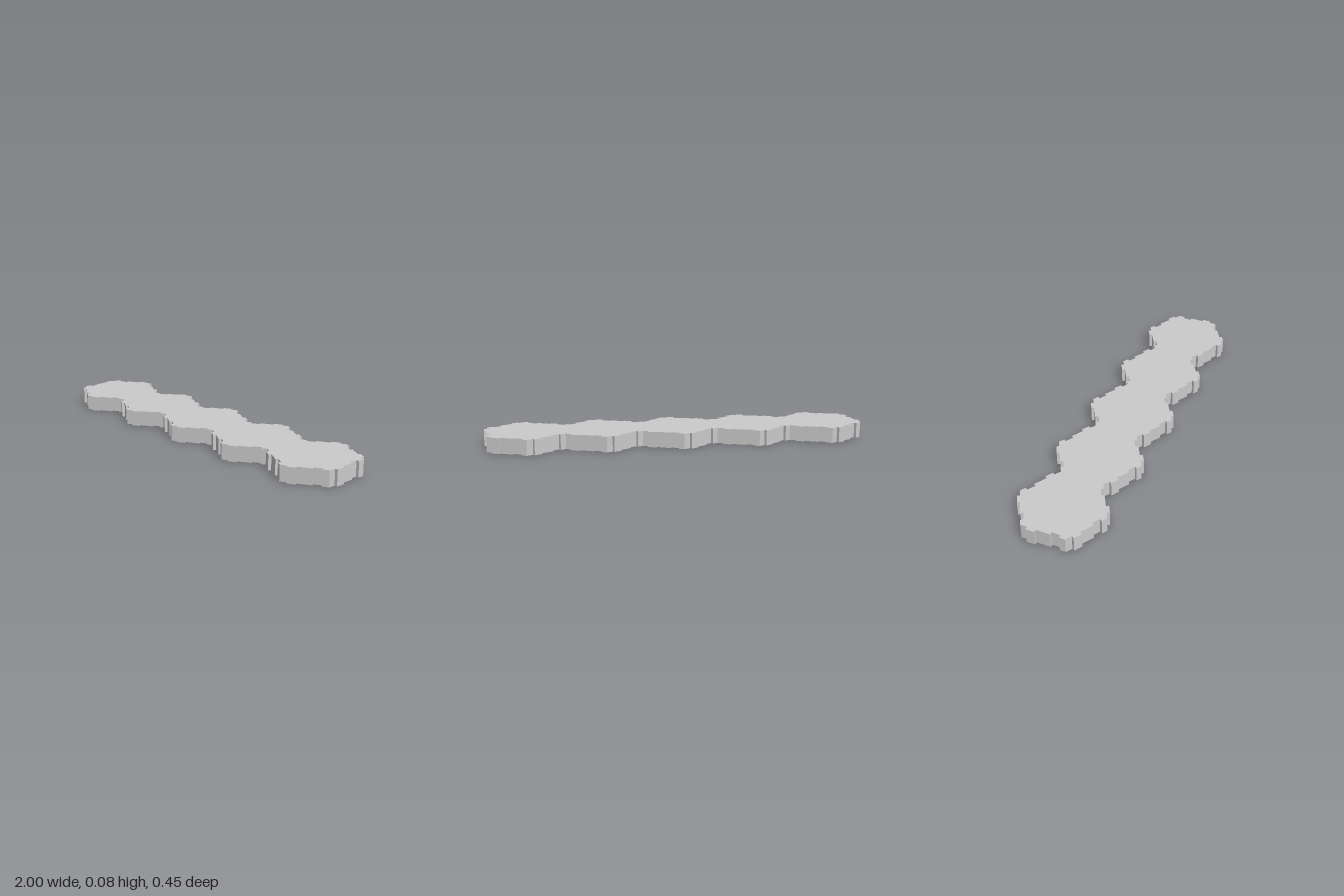
import * as THREE from 'three';

const COUNT = 5;          // hexagons in the row
const APOTHEM = 0.197;    // half the width across flats
const RADIUS = APOTHEM * 2 / Math.sqrt(3);
const HEIGHT = 0.08;
const DEPTH = 1 - COUNT * APOTHEM; // how far tabs stick out and notches cut in

// Corners of the joined hexagons, clockwise seen from above
function outlineCorners() {
  const back = [], front = [];
  for (let i = 0; i < COUNT; i++) {
    const x = (i - (COUNT - 1) / 2) * 2 * APOTHEM;
    back.push([x - APOTHEM, RADIUS / 2], [x, RADIUS]);
    front.push([x - APOTHEM, -RADIUS / 2], [x, -RADIUS]);
  }
  const end = COUNT * APOTHEM;
  back.push([end, RADIUS / 2]);
  front.push([end, -RADIUS / 2]);
  return [...back, ...front.reverse()].map(([x, y]) => new THREE.Vector2(x, y));
}

// One edge: a notch in its first half, a tab in its second
const EDGE = [
  [0, 0],
  [0.031, 0], [0.031, -DEPTH], [0.076, -DEPTH], [0.076, 0],
  [RADIUS - 0.08, 0], [RADIUS - 0.08, DEPTH], [RADIUS - 0.035, DEPTH], [RADIUS - 0.035, 0],
];

export function createModel() {
  const group = new THREE.Group();
  group.name = 'hexTileStrip';

  // Toothed outline
  const corners = outlineCorners();
  const points = [];
  corners.forEach((start, i) => {
    const along = corners[(i + 1) % corners.length].clone().sub(start).normalize();
    const outward = new THREE.Vector2(-along.y, along.x);
    for (const [t, d] of EDGE) {
      points.push(start.clone().addScaledVector(along, t).addScaledVector(outward, d));
    }
  });

  // Flat slab raised from the outline
  const geometry = new THREE.ExtrudeGeometry(new THREE.Shape(points), {
    depth: HEIGHT, bevelEnabled: false,
  });
  geometry.rotateX(-Math.PI / 2);
  const slab = new THREE.Mesh(
    geometry,
    new THREE.MeshStandardMaterial({ color: 0xcccccc, flatShading: true }),
  );
  slab.name = 'interlockingSlab';
  group.add(slab);
  return group;
}
